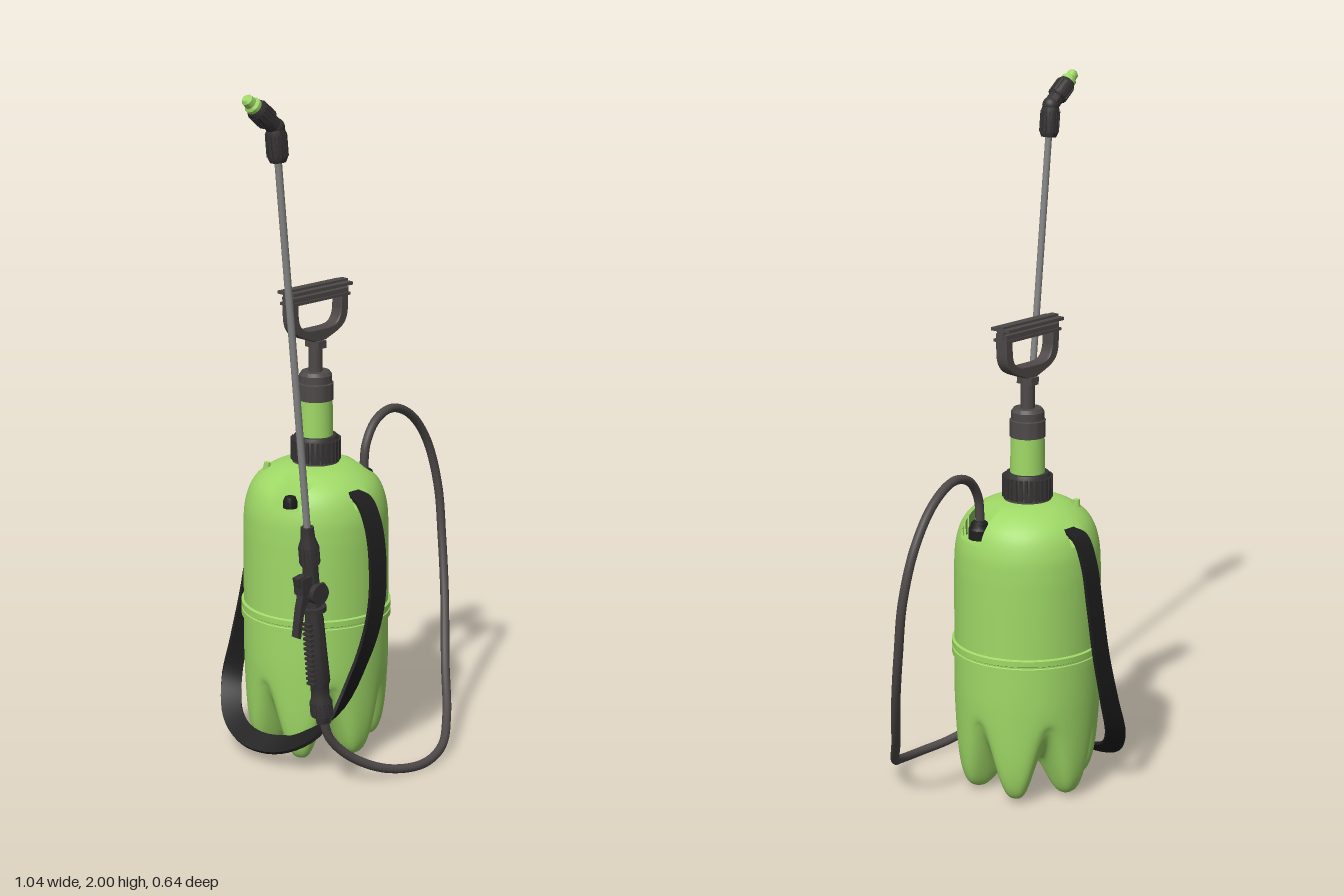
import * as THREE from 'three';
import { toCreasedNormals } from 'three/addons/utils/BufferGeometryUtils.js';
import { ParametricGeometry } from 'three/addons/geometries/ParametricGeometry.js';

const mat = (color) => new THREE.MeshStandardMaterial({ color });
const green = mat(0x9fd866), grey = mat(0x4f4949), dark = mat(0x363333);
const black = mat(0x1e1e1e), steel = mat(0x858585);
const CZ = -0.054; // tank axis

const v2 = (list) => list.map(([x, y]) => new THREE.Vector2(x, y));
const v3 = (list) => list.map((p) => new THREE.Vector3(...p));

function add(parent, name, geo, material, x = 0, y = 0, z = 0) {
  const m = new THREE.Mesh(geo, material);
  m.name = name;
  m.position.set(x, y, z);
  parent.add(m);
  return m;
}
const cyl = (rTop, rBottom, h, n = 32) => new THREE.CylinderGeometry(rTop, rBottom, h, n);
const box = (w, h, d) => new THREE.BoxGeometry(w, h, d);
// Solid of revolution with crisp corners, profile given as [radius, y] going up
const lathe = (list, n = 40) => toCreasedNormals(new THREE.LatheGeometry(v2(list), n), 0.6);

// Ring of thin ribs around a vertical cylinder
function ribs(parent, name, n, r, h, size, material, y) {
  for (let i = 0; i < n; i++) {
    const a = (i / n) * Math.PI * 2;
    const m = add(parent, name, box(size, h, size), material, Math.sin(a) * r, y, Math.cos(a) * r);
    m.rotation.y = a;
  }
}

// Tank: revolved body blending foot and groove profiles, with pockets sunk in the shoulder
function tankGeometry() {
  const upper = [[0.21, 0.28], [0.21, 0.45], [0.21, 0.62], [0.209, 0.69], [0.204, 0.745],
    [0.188, 0.795], [0.16, 0.83], [0.115, 0.857], [0.06, 0.868], [0.002, 0.868]];
  const foot = new THREE.SplineCurve(v2([[0.002, 0.1], [0.06, 0.075], [0.11, 0.025], [0.145, 0.01],
    [0.182, 0.03], [0.202, 0.11], ...upper]));
  const groove = new THREE.SplineCurve(v2([[0.002, 0.1], [0.06, 0.105], [0.11, 0.12], [0.145, 0.14],
    [0.176, 0.18], [0.199, 0.23], ...upper]));
  const a = new THREE.Vector2(), b = new THREE.Vector2();
  return new ParametricGeometry((u, v, out) => {
    const t = u * Math.PI * 2;
    foot.getPoint(v, a);
    groove.getPoint(v, b);
    a.lerp(b, Math.pow(0.5 - 0.5 * Math.cos(6 * t), 1.5));
    const x = a.x * Math.sin(t), z = a.x * Math.cos(t);
    let y = a.y;
    const hosePocket = Math.abs(x) > 0.105 && Math.abs(z - 0.052) < 0.05;
    const strapPocket = Math.abs(x) < 0.034 && Math.abs(z) > 0.143;
    if (hosePocket || strapPocket) y = Math.min(y, 0.77);
    out.set(x, y, z);
  }, 240, 110);
}

// Flat strap swept along a curve, its width following a hint direction
function strapGeometry() {
  const path = new THREE.CatmullRomCurve3(v3([
    [0, 0.8, 0.09], [0, 0.79, 0.14], [0, 0.73, 0.178], [-0.005, 0.62, 0.203], [-0.02, 0.48, 0.21],
    [-0.065, 0.33, 0.195], [-0.145, 0.155, 0.145], [-0.2, 0.075, 0.035], [-0.222, 0.06, -0.09],
    [-0.195, 0.09, -0.2], [-0.135, 0.17, -0.275], [-0.07, 0.3, -0.305], [-0.025, 0.45, -0.311],
    [-0.005, 0.6, -0.303], [0, 0.72, -0.285], [0, 0.79, -0.25], [0, 0.8, -0.2]]));
  const corners = [[1, 1], [-1, 1], [-1, -1], [1, -1]];
  const T = new THREE.Vector3(), W = new THREE.Vector3(), N = new THREE.Vector3();
  const geo = new ParametricGeometry((u, v, out) => {
    const [cw, cn] = corners[Math.round(u * 4) % 4];
    path.getTangent(v, T);
    const k = Math.sin(v * Math.PI) ** 2;
    W.set(1 - 0.25 * k, 0.6 * k, 0).addScaledVector(T, -W.dot(T)).normalize();
    N.crossVectors(T, W).normalize();
    path.getPoint(v, out);
    out.addScaledVector(W, cw * 0.03).addScaledVector(N, cn * 0.005);
  }, 4, 90);
  return toCreasedNormals(geo, 0.7);
}

function buildPump() {
  const pump = new THREE.Group();
  pump.name = 'pump';
  pump.position.z = CZ;
  add(pump, 'neckDisc', cyl(0.068, 0.068, 0.02), grey, 0, 0.87, 0);
  add(pump, 'collar', lathe([[0, 0.872], [0.068, 0.872], [0.068, 0.93], [0.06, 0.945], [0, 0.945]]), dark);
  ribs(pump, 'collarRib', 28, 0.068, 0.06, 0.009, dark, 0.905);
  add(pump, 'pumpTube', cyl(0.048, 0.05, 0.12), green, 0, 1.0, 0);
  add(pump, 'pumpCap', lathe([[0, 1.05], [0.051, 1.05], [0.051, 1.098], [0.047, 1.1], [0.047, 1.122],
    [0.04, 1.132], [0, 1.132]]), grey);
  add(pump, 'pumpRod', cyl(0.02, 0.02, 0.12, 24), grey, 0, 1.18, 0);
  add(pump, 'rodCollar', box(0.03, 0.022, 0.056), grey, 0, 1.212, 0);

  // D-shaped handle with an I-shaped grip
  const s = new THREE.Shape();
  s.moveTo(-0.11, 1.36);
  s.lineTo(-0.108, 1.3);
  s.bezierCurveTo(-0.104, 1.25, -0.075, 1.245, -0.022, 1.225);
  s.lineTo(0.022, 1.225);
  s.bezierCurveTo(0.075, 1.245, 0.104, 1.25, 0.108, 1.3);
  s.lineTo(0.11, 1.36);
  const hole = new THREE.Path();
  hole.moveTo(-0.086, 1.342);
  hole.lineTo(0.086, 1.342);
  hole.lineTo(0.084, 1.3);
  hole.bezierCurveTo(0.078, 1.262, 0.06, 1.257, 0.03, 1.255);
  hole.lineTo(-0.03, 1.255);
  hole.bezierCurveTo(-0.06, 1.257, -0.078, 1.262, -0.084, 1.3);
  s.holes.push(hole);
  add(pump, 'handleFrame', new THREE.ExtrudeGeometry(s, { depth: 0.032, curveSegments: 12,
    bevelEnabled: true, bevelSize: 0.003, bevelThickness: 0.004, bevelSegments: 1 }), grey, 0, 0, -0.016);
  add(pump, 'gripWeb', box(0.23, 0.045, 0.024), grey, 0, 1.362, 0);
  add(pump, 'gripTop', box(0.23, 0.009, 0.066), grey, 0, 1.374, 0);
  add(pump, 'gripFlange', box(0.23, 0.008, 0.048), grey, 0, 1.343, 0);
  return pump;
}

function buildWand() {
  const wand = new THREE.Group();
  wand.name = 'wand';
  wand.position.set(-0.242, 0.21, 0.225);
  wand.rotation.z = 0.098;
  add(wand, 'gripHandle', lathe([[0, 0], [0.017, 0], [0.019, 0.02], [0.03, 0.024], [0.03, 0.07], [0.026, 0.08],
    [0.026, 0.115], [0.031, 0.13], [0.028, 0.23], [0.026, 0.32], [0.022, 0.345], [0.022, 0.48],
    [0.027, 0.482], [0.027, 0.54], [0.02, 0.56], [0.018, 0.592], [0, 0.592]], 24), dark);
  ribs(wand, 'hoseNutRib', 14, 0.029, 0.042, 0.006, dark, 0.047);
  ribs(wand, 'lanceNutRib', 14, 0.026, 0.05, 0.006, dark, 0.511);
  for (let i = 0; i < 13; i++) // finger ridges
    add(wand, 'gripRidge', box(0.02, 0.007, 0.03), dark, -0.025, 0.13 + i * 0.015, 0);

  // Valve body and trigger
  const valve = add(wand, 'valveBarrel', cyl(0.03, 0.03, 0.07, 24), dark, 0, 0.4, 0);
  valve.rotation.x = Math.PI / 2;
  add(wand, 'valveFlange', cyl(0.036, 0.036, 0.014, 24), dark, 0, 0.35, 0);
  add(wand, 'valveBlock', box(0.06, 0.05, 0.036), dark, -0.02, 0.43, 0);
  const button = add(wand, 'lockButton', cyl(0.012, 0.012, 0.03, 16), dark, 0.03, 0.4, 0);
  button.rotation.z = Math.PI / 2;
  const t = new THREE.Shape(v2([[-0.012, 0.43], [-0.03, 0.46], [-0.058, 0.458], [-0.055, 0.435],
    [-0.04, 0.42], [-0.058, 0.37], [-0.078, 0.29], [-0.066, 0.283], [-0.045, 0.36], [-0.012, 0.4]]));
  add(wand, 'trigger', new THREE.ExtrudeGeometry(t, { depth: 0.024, bevelEnabled: false }), dark, 0, 0, -0.012);

  // Lance and angled nozzle
  add(wand, 'lance', cyl(0.01, 0.01, 1.07, 20), steel, 0, 1.1, 0);
  add(wand, 'lanceNut', lathe([[0, 1.618], [0.022, 1.618], [0.027, 1.63], [0.027, 1.695], [0.023, 1.71],
    [0, 1.71]], 24), dark);
  ribs(wand, 'nozzleNutRib', 14, 0.026, 0.06, 0.006, dark, 1.663);
  add(wand, 'elbow', new THREE.SphereGeometry(0.025, 24, 16), dark, 0, 1.71, 0);
  const head = new THREE.Group();
  head.name = 'nozzle';
  head.position.set(0, 1.71, 0);
  head.rotation.z = 0.78;
  wand.add(head);
  add(head, 'nozzleBody', lathe([[0, 0], [0.023, 0], [0.023, 0.03], [0.028, 0.035], [0.028, 0.085],
    [0.023, 0.095], [0, 0.095]], 24), dark);
  ribs(head, 'nozzleRib', 14, 0.026, 0.045, 0.007, dark, 0.06);
  add(head, 'nozzleTip', lathe([[0, 0.09], [0.023, 0.09], [0.023, 0.105], [0.017, 0.112], [0.016, 0.128],
    [0.009, 0.136], [0, 0.136]], 20), green);
  return wand;
}

export function createModel() {
  const model = new THREE.Group();
  model.name = 'pressureSprayer';

  add(model, 'tank', tankGeometry(), green, 0, 0, CZ);
  add(model, 'tankBand', lathe([[0.208, 0.405], [0.217, 0.408], [0.217, 0.426], [0.214, 0.428], [0.214, 0.432],
    [0.217, 0.434], [0.217, 0.45], [0.208, 0.454]], 72), green, 0, 0, CZ);
  add(model, 'reliefNub', cyl(0.009, 0.011, 0.03, 16), green, -0.1, 0.845, -0.152);
  add(model, 'pressureValve', lathe([[0, 0], [0.02, 0], [0.02, 0.022], [0.015, 0.034], [0, 0.038]], 24),
    black, -0.152, 0.768, 0);
  add(model, 'hoseConnector', lathe([[0, 0], [0.032, 0], [0.032, 0.036], [0.027, 0.042], [0.024, 0.054],
    [0.016, 0.06], [0, 0.06]], 12), black, 0.146, 0.762, -0.003);
  add(model, 'strap', strapGeometry(), black);

  const hose = new THREE.CatmullRomCurve3(v3([
    [0.143, 0.8, -0.003], [0.153, 0.89, -0.005], [0.2, 0.95, -0.015], [0.28, 0.971, -0.03],
    [0.38, 0.93, -0.048], [0.465, 0.83, -0.06], [0.507, 0.68, -0.052], [0.503, 0.53, -0.03],
    [0.465, 0.37, 0.02], [0.38, 0.19, 0.107], [0.28, 0.08, 0.21], [0.18, 0.032, 0.285],
    [0.07, 0.016, 0.31], [-0.05, 0.032, 0.285], [-0.15, 0.085, 0.245], [-0.215, 0.155, 0.226],
    [-0.241, 0.225, 0.225]]));
  add(model, 'hose', new THREE.TubeGeometry(hose, 160, 0.013, 14), grey);

  model.add(buildPump(), buildWand());
  return model;
}
